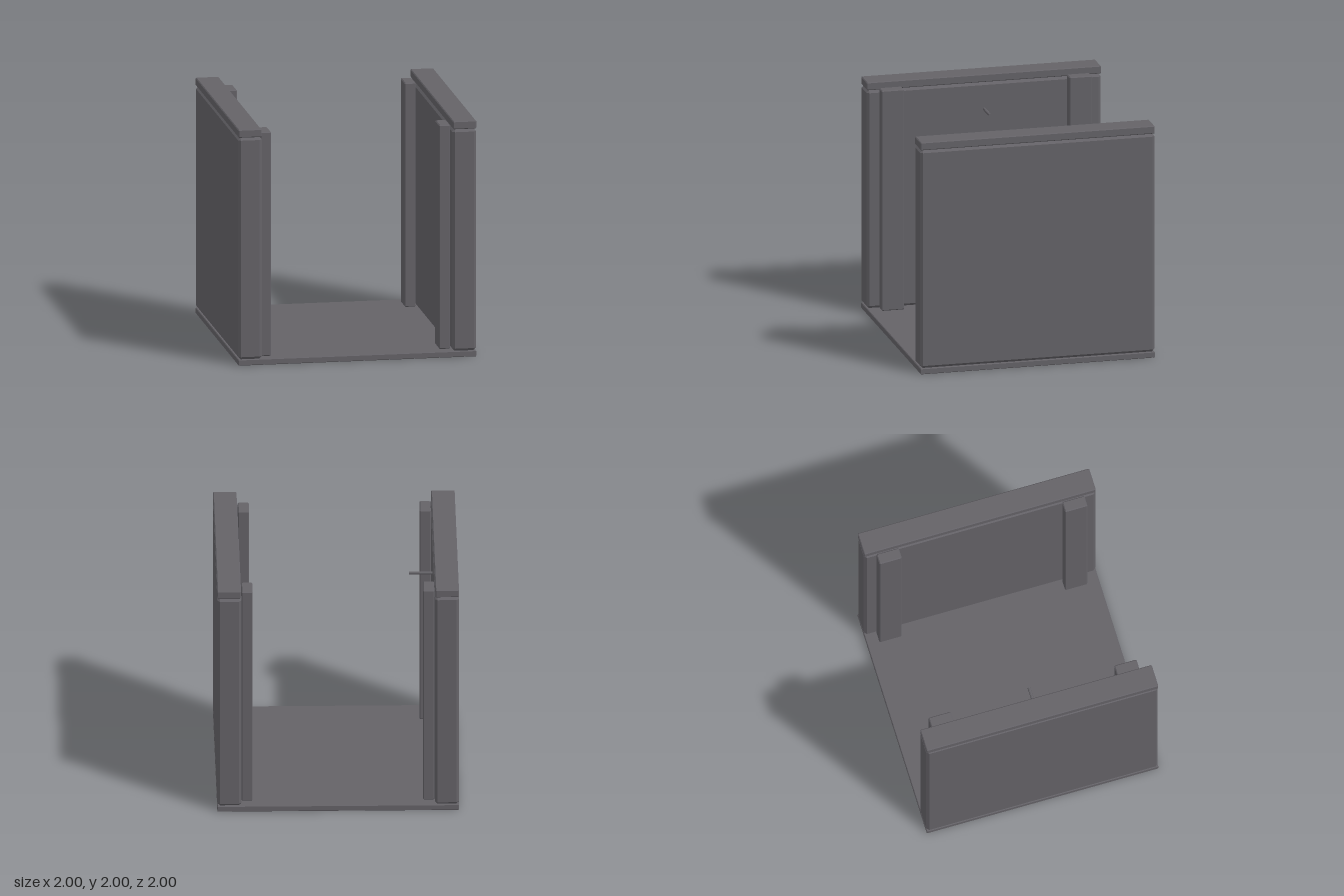
import * as THREE from 'three';
import { ConvexGeometry } from 'three/addons/geometries/ConvexGeometry.js';

// Box between two corners with all edges chamfered by c
function chamferBox(min, max, c) {
  const mid = min.map((v, i) => (v + max[i]) / 2);
  const half = min.map((v, i) => (max[i] - v) / 2);
  const points = [];
  for (const sx of [-1, 1]) for (const sy of [-1, 1]) for (const sz of [-1, 1]) {
    const s = [sx, sy, sz];
    for (let axis = 0; axis < 3; axis++) {
      const p = s.map((sign, i) => mid[i] + sign * (half[i] - (i === axis ? 0 : c)));
      points.push(new THREE.Vector3(...p));
    }
  }
  return new ConvexGeometry(points);
}

export function createModel() {
  const group = new THREE.Group();
  const stone = new THREE.MeshStandardMaterial({ color: 0x646267 });
  stone.name = 'grey stone';

  const add = (name, geometry) => {
    const mesh = new THREE.Mesh(geometry, stone);
    mesh.name = name;
    group.add(mesh);
    return mesh;
  };

  // Floor slab
  add('floor', chamferBox([-1, 0, -1], [1, 0.05, 1], 0.005));

  for (const side of [-1, 1]) {
    const label = side > 0 ? 'left' : 'right';
    // Box placed on one side from its inner and outer distance to the centre
    const sideBox = (x0, x1, y0, y1, z0, z1, c) =>
      chamferBox([Math.min(side * x0, side * x1), y0, z0], [Math.max(side * x0, side * x1), y1, z1], c);

    // Thick wall and its capping beam
    add(label + 'Wall', sideBox(0.8, 1, 0.05, 1.93, -1, 1, 0.022));
    add(label + 'Cap', sideBox(0.805, 1, 1.932, 2, -1, 1, 0.007));

    // Inner pillars at both ends
    add(label + 'FrontPillar', sideBox(0.705, 0.798, 0.05, 1.95, 0.705, 0.898, 0.008));
    add(label + 'BackPillar', sideBox(0.705, 0.798, 0.05, 1.95, -0.898, -0.705, 0.008));
  }

  // Peg sticking out of the right wall
  const peg = add('peg', new THREE.CylinderGeometry(0.0125, 0.0125, 0.2, 8).toNonIndexed());
  peg.geometry.computeVertexNormals();
  peg.rotation.z = Math.PI / 2;
  peg.position.set(-0.705, 1.703, 0);

  return group;
}
